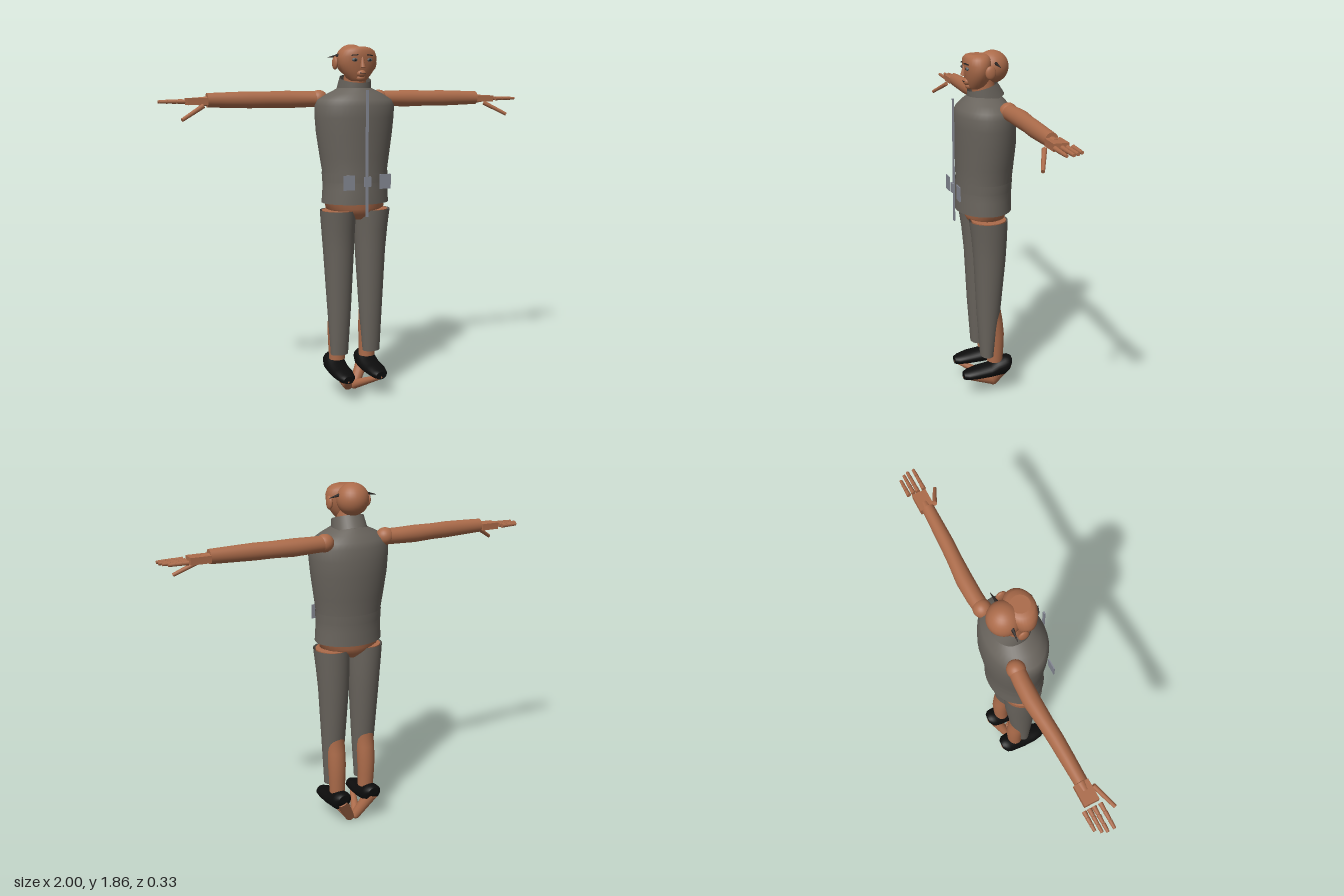
import * as THREE from 'three';

const mat = (name, color, side = THREE.FrontSide) => {
  const m = new THREE.MeshStandardMaterial({ color, side });
  m.name = name;
  return m;
};

// Elliptical rings [y, cx, cz, rx, rz], listed bottom to top, joined into a smooth skin
function loft(rings, capped = true, n = 32) {
  const pos = [], idx = [];
  const ring = ([y, cx, cz, rx, rz]) => {
    const start = pos.length / 3;
    for (let i = 0; i < n; i++) {
      const a = (i / n) * Math.PI * 2;
      pos.push(cx + rx * Math.cos(a), y, cz + rz * Math.sin(a));
    }
    return start;
  };
  const starts = rings.map(ring);
  for (let k = 0; k + 1 < rings.length; k++) {
    for (let i = 0; i < n; i++) {
      const j = (i + 1) % n, a = starts[k], b = starts[k + 1];
      idx.push(a + i, b + i, a + j, a + j, b + i, b + j);
    }
  }
  if (capped) {
    for (const top of [false, true]) {
      const r = top ? rings[rings.length - 1] : rings[0];
      const s = ring(r), c = pos.length / 3;
      pos.push(r[1], r[0], r[2]);
      for (let i = 0; i < n; i++) {
        const j = (i + 1) % n;
        idx.push(c, s + (top ? j : i), s + (top ? i : j));
      }
    }
  }
  const g = new THREE.BufferGeometry();
  g.setAttribute('position', new THREE.Float32BufferAttribute(pos, 3));
  g.setIndex(idx);
  g.computeVertexNormals();
  return g;
}

export function createModel() {
  const root = new THREE.Group();
  root.name = 'figure';
  const skin = mat('skin', 0xab6b4a);
  const cloth = mat('grey cloth', 0x68635c, THREE.DoubleSide);
  const black = mat('black leather', 0x0c0c0c);
  const metal = mat('grey metal', 0x858893);
  const dark = mat('dark hair', 0x2b2523);
  const eyeGrey = mat('eye grey', 0x5d6468);

  const add = (name, geo, m, x = 0, y = 0, z = 0, parent = root) => {
    const mesh = new THREE.Mesh(geo, m);
    mesh.name = name;
    mesh.position.set(x, y, z);
    parent.add(mesh);
    return mesh;
  };
  const ball = (name, m, x, y, z, rx, ry = rx, rz = rx) =>
    add(name, new THREE.SphereGeometry(1, 28, 18), m, x, y, z).scale.set(rx, ry, rz);
  const box = (name, m, x, y, z, w, h, d) => add(name, new THREE.BoxGeometry(w, h, d), m, x, y, z);
  // Tapered rod from point a to point b
  const rod = (name, m, a, b, ra, rb, sides = 16) => {
    const p = new THREE.Vector3(...a), q = new THREE.Vector3(...b);
    const dir = q.clone().sub(p);
    const mesh = add(name, new THREE.CylinderGeometry(rb, ra, dir.length(), sides), m);
    mesh.position.copy(p).add(q).multiplyScalar(0.5);
    mesh.quaternion.setFromUnitVectors(new THREE.Vector3(0, 1, 0), dir.normalize());
    return mesh;
  };

  // Vest, belt and collar
  add('vest', loft([
    [1.06, 0, 0, 0.18, 0.145], [1.13, 0, 0, 0.175, 0.143], [1.2, 0, -0.003, 0.171, 0.141],
    [1.3, 0, -0.007, 0.187, 0.146], [1.42, 0, -0.01, 0.205, 0.154], [1.5, 0, -0.008, 0.213, 0.153],
    [1.56, 0, -0.004, 0.215, 0.149], [1.59, 0, -0.004, 0.2, 0.135], [1.62, 0, -0.004, 0.15, 0.112],
    [1.65, 0, -0.004, 0.085, 0.085],
  ], true, 40), cloth);
  add('belt', loft([[1.17, 0, -0.002, 0.175, 0.144], [1.22, 0, -0.003, 0.177, 0.145]], false, 40), cloth);
  const collar = add('collar', loft([[-0.035, 0, 0, 0.09, 0.098], [0.033, 0, 0, 0.082, 0.078]], false),
    cloth, 0, 1.665, -0.005);
  collar.rotation.x = 0.28;

  // Zip, buckle and pocket plates
  box('zip', metal, 0, 1.32, 0.155, 0.013, 0.64, 0.008);
  box('buckle', metal, 0, 1.18, 0.163, 0.036, 0.05, 0.012);
  for (const s of [-1, 1]) box('pocketPlate', metal, s * 0.1, 1.178, 0.159, 0.06, 0.075, 0.006);

  // Hips
  add('hips', loft([
    [0.97, 0, -0.005, 0.03, 0.06], [1.0, 0, -0.005, 0.09, 0.09],
    [1.03, 0, -0.005, 0.16, 0.105], [1.1, 0, -0.005, 0.165, 0.11],
  ]), skin);

  // Neck and head
  rod('neck', skin, [0, 1.6, -0.015], [0, 1.74, 0.005], 0.062, 0.056, 24);
  ball('cranium', skin, 0, 1.79, -0.05, 0.081);
  add('face', loft([
    [1.685, 0, 0.03, 0.04, 0.04], [1.7, 0, 0.03, 0.058, 0.05], [1.735, 0, 0.03, 0.086, 0.06],
    [1.77, 0, 0.03, 0.101, 0.066], [1.805, 0, 0.03, 0.104, 0.07], [1.835, 0, 0.03, 0.092, 0.07],
    [1.85, 0, 0.03, 0.07, 0.06], [1.856, 0, 0.03, 0.045, 0.045],
  ]), skin);
  rod('nose', skin, [0, 1.752, 0.102], [0, 1.805, 0.094], 0.014, 0.006, 12);
  ball('muzzle', skin, 0, 1.722, 0.078, 0.026, 0.02, 0.024);
  ball('chin', skin, 0, 1.7, 0.07, 0.024, 0.018, 0.02);
  box('mouth', dark, 0, 1.724, 0.101, 0.03, 0.003, 0.004);
  for (const s of [-1, 1]) {
    ball('eye', eyeGrey, s * 0.04, 1.79, 0.091, 0.016, 0.009, 0.009);
    ball('pupil', dark, s * 0.04, 1.79, 0.097, 0.006, 0.006, 0.005);
    const brow = box('eyebrow', dark, s * 0.042, 1.813, 0.096, 0.035, 0.005, 0.008);
    brow.rotation.set(0, s * 0.35, -s * 0.1);
    ball('ear', skin, s * 0.107, 1.775, -0.008, 0.013, 0.034, 0.027);
    rod('hairSpike', dark, [s * 0.07, 1.815, -0.045], [s * 0.132, 1.803, -0.05], 0.009, 0.001, 8);
  }

  for (const s of [-1, 1]) {
    // Arm, running outward from the shoulder
    ball('shoulder', skin, s * 0.17, 1.594, -0.078, 0.047, 0.045, 0.045);
    const arm = add('arm', loft([
      [0.17, 0, -0.078, 0.04, 0.04], [0.24, 0, -0.083, 0.041, 0.041], [0.34, 0, -0.085, 0.044, 0.042],
      [0.45, 0, -0.079, 0.041, 0.037], [0.54, 0, -0.074, 0.042, 0.036], [0.64, 0, -0.072, 0.039, 0.034],
      [0.76, 0, -0.07, 0.035, 0.031],
    ].map(([y, cx, ...rest]) => [y, -s * (1.592 + cx), ...rest])), skin);
    arm.rotation.z = -s * Math.PI / 2;

    // Hand: palm, jointed fingers and thumb
    rod('wrist', skin, [s * 0.74, 1.587, -0.072], [s * 0.8, 1.587, -0.072], 0.025, 0.02);
    box('palm', skin, s * 0.81, 1.587, -0.073, 0.1, 0.034, 0.072);
    [[-0.04, 1], [-0.072, 1], [-0.095, 0.99], [-0.12, 0.97]].forEach(([z, tip]) => {
      const len = (tip - 0.875) / 3;
      for (let k = 0; k < 3; k++) {
        const x = 0.875 + k * len;
        rod('fingerJoint', skin, [s * x, 1.587, z], [s * (x + len * 0.95), 1.587, z],
          0.0115 - k * 0.001, 0.0095 - k * 0.001, 10);
      }
    });
    rod('thumb', skin, [s * 0.79, 1.565, -0.025], [s * 0.905, 1.502, 0.025], 0.012, 0.009, 10);

    // Leg and trouser
    add('leg', loft([
      [0.2, s * 0.088, -0.042, 0.043, 0.042], [0.28, s * 0.09, -0.044, 0.045, 0.044],
      [0.36, s * 0.09, -0.042, 0.049, 0.048], [0.44, s * 0.09, -0.032, 0.05, 0.05],
      [0.52, s * 0.09, -0.018, 0.051, 0.05], [0.7, s * 0.09, -0.008, 0.06, 0.065],
      [1.02, s * 0.095, -0.002, 0.085, 0.09],
    ]), skin);
    add('trouserLeg', loft([
      [0.24, s * 0.093, 0.005, 0.048, 0.036], [0.5, s * 0.091, -0.003, 0.064, 0.064],
      [0.8, s * 0.091, -0.009, 0.081, 0.085], [0.92, s * 0.094, -0.006, 0.088, 0.093],
      [1.02, s * 0.097, 0, 0.094, 0.101],
    ], false), cloth);

    // Shoe, running from heel to toe
    const shoe = add('shoe', loft([
      [-0.132, s * 0.092, -0.19, 0.03, 0.022], [-0.115, s * 0.092, -0.177, 0.05, 0.044],
      [-0.09, s * 0.092, -0.166, 0.056, 0.054], [-0.05, s * 0.092, -0.16, 0.058, 0.05],
      [-0.01, s * 0.093, -0.147, 0.058, 0.037], [0.06, s * 0.094, -0.142, 0.056, 0.033],
      [0.115, s * 0.094, -0.135, 0.045, 0.026], [0.138, s * 0.094, -0.132, 0.028, 0.02],
    ]), black);
    shoe.rotation.x = Math.PI / 2;

    // Bare foot, folded down to a point under the shoe
    const heel = [s * 0.02, 0.033, -0.055];
    ball('heel', skin, ...heel, 0.026);
    rod('footBack', skin, [s * 0.095, 0.165, -0.1], heel, 0.036, 0.026);
    rod('footSole', skin, heel, [s * 0.095, 0.122, 0.125], 0.025, 0.013);
    ball('toe', skin, s * 0.095, 0.122, 0.125, 0.014);
  }
  return root;
}
